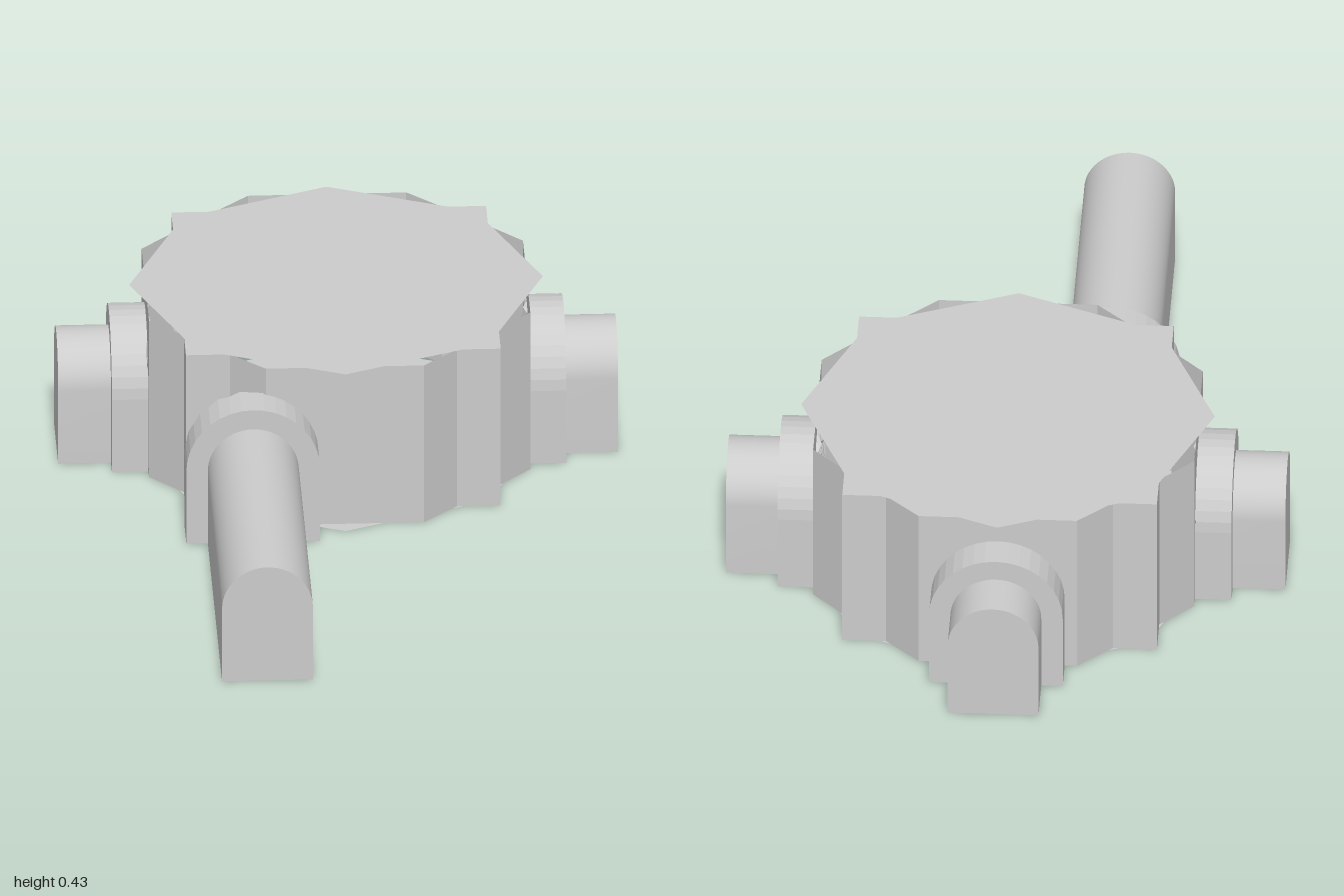
import * as THREE from 'three';
import { toCreasedNormals } from 'three/addons/utils/BufferGeometryUtils.js';

const HALL_Z = -0.31, HALL_H = 0.433, SPRING = 0.2;

// Repeat a quarter outline four times around the centre
function fourfold(quarter) {
  const points = [];
  let turn = quarter;
  for (let k = 0; k < 4; k++) {
    points.push(...turn.map(([x, y]) => new THREE.Vector2(x, y)));
    turn = turn.map(([x, y]) => [-y, x]);
  }
  return points;
}

// Round-topped outline; an inner radius leaves an arch band
function archShape(radius, inner = 0) {
  const s = new THREE.Shape();
  s.moveTo(-radius, 0);
  if (inner) {
    s.lineTo(-inner, 0);
    s.lineTo(-inner, SPRING);
    s.absarc(0, SPRING, inner, Math.PI, 0, true);
    s.lineTo(inner, 0);
  }
  s.lineTo(radius, 0);
  s.lineTo(radius, SPRING);
  s.absarc(0, SPRING, radius, 0, Math.PI, false);
  s.closePath();
  return s;
}

function extrudeArch(shape, from, to, segments) {
  const g = new THREE.ExtrudeGeometry(shape, { depth: to - from, bevelEnabled: false, curveSegments: segments });
  g.translate(0, 0, from);
  return g;
}

export function createModel() {
  const model = new THREE.Group();
  model.name = 'tunnelHub';
  const stone = new THREE.MeshStandardMaterial({ color: 0xcccccc, side: THREE.DoubleSide });
  stone.name = 'grey stone';

  const add = (parent, geometry, name) => {
    const mesh = new THREE.Mesh(geometry, stone);
    mesh.name = name;
    parent.add(mesh);
    return mesh;
  };

  // Hall: octagonal walls with square corner piers
  const hall = new THREE.Group();
  hall.name = 'hall';
  hall.position.z = HALL_Z;
  model.add(hall);
  const outline = fourfold([[0.47, 0.195], [0.388, 0.28], [0.388, 0.388], [0.28, 0.388], [0.195, 0.47]]);
  const wall = [];
  outline.forEach((a, i) => {
    const b = outline[(i + 1) % outline.length];
    const a0 = [a.x, 0, -a.y], a1 = [a.x, HALL_H, -a.y];
    const b0 = [b.x, 0, -b.y], b1 = [b.x, HALL_H, -b.y];
    wall.push(...a0, ...b0, ...b1, ...a0, ...b1, ...a1);
  });
  const wallGeometry = new THREE.BufferGeometry();
  wallGeometry.setAttribute('position', new THREE.Float32BufferAttribute(wall, 3));
  wallGeometry.computeVertexNormals();
  add(hall, wallGeometry, 'walls');

  // Flat star-shaped roof and floor
  const star = new THREE.Shape(fourfold([[0.51, 0], [0.388, 0.295], [0.388, 0.388], [0.295, 0.388]]));
  add(hall, new THREE.ShapeGeometry(star).rotateX(-Math.PI / 2).translate(0, HALL_H, 0), 'roof');
  add(hall, new THREE.ShapeGeometry(star).rotateX(Math.PI / 2), 'floor');

  // Tunnels with stone arch collars, one on each side of the hall
  const tunnels = [
    { name: 'frontTunnel', angle: 0, offset: -0.23, start: 0.46, end: 1.31 },
    { name: 'leftTunnel', angle: Math.PI / 2, offset: 0, start: 0.465, end: 0.69 },
    { name: 'backTunnel', angle: Math.PI, offset: 0, start: 0.465, end: 0.69 },
    { name: 'rightTunnel', angle: -Math.PI / 2, offset: 0, start: 0.465, end: 0.69 },
  ];
  for (const t of tunnels) {
    const tunnel = new THREE.Group();
    tunnel.name = t.name;
    tunnel.rotation.y = t.angle;
    hall.add(tunnel);
    const passage = toCreasedNormals(extrudeArch(archShape(0.112), t.start, t.end, 14), 0.5);
    add(tunnel, passage, 'passage').position.x = t.offset;

    // Roughen the wall side of the collar slightly, like uneven masonry
    const collar = extrudeArch(archShape(0.165, 0.108), t.start, 0.56, 9);
    const p = collar.attributes.position;
    for (let i = 0; i < p.count; i++) {
      if (p.getZ(i) < 0.5) {
        p.setZ(i, p.getZ(i) + 0.008 * Math.sin(p.getX(i) * 90 + p.getY(i) * 70));
      }
    }
    collar.computeVertexNormals();
    add(tunnel, collar, 'archCollar').position.x = t.offset;
  }
  return model;
}
